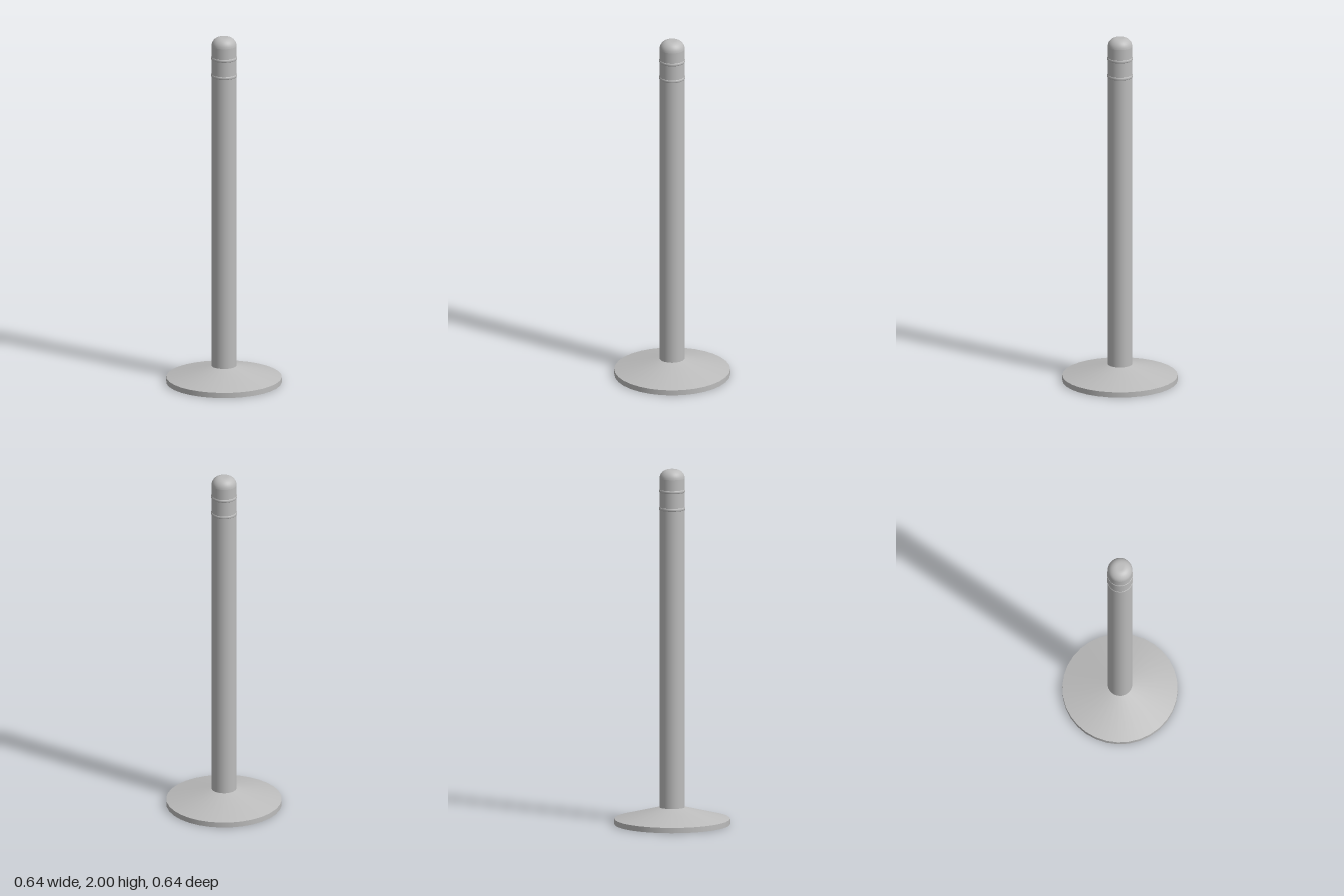
import * as THREE from 'three';

const POLE_R = 0.07;

export function createModel() {
  const group = new THREE.Group();
  const grey = new THREE.MeshStandardMaterial({ color: 0xbcbcbc, side: THREE.DoubleSide });
  grey.name = 'grey';

  // Revolve a profile of [radius, height] points, listed from bottom to top
  const lathe = (name, points, segments = 32) => {
    const profile = points.map(([r, y]) => new THREE.Vector2(r, y));
    const mesh = new THREE.Mesh(new THREE.LatheGeometry(profile, segments), grey);
    mesh.name = name;
    group.add(mesh);
  };

  // Hollow base: upright rim and shallow cone, open underneath
  lathe('baseRim', [[0.322, 0], [0.322, 0.03]]);
  lathe('baseCone', [[0.322, 0.03], [POLE_R, 0.095]]);

  // Open tube running down through the base
  lathe('pole', [[POLE_R, 0], [POLE_R, 1.95]]);

  // Rounded cap with a small flat top
  const fillet = 0.05;
  const cap = [];
  for (let i = 0; i <= 8; i++) {
    const a = (i / 8) * Math.PI / 2;
    cap.push([POLE_R - fillet + fillet * Math.cos(a), 2 - fillet + fillet * Math.sin(a)]);
  }
  cap.push([0, 2]);
  lathe('poleCap', cap);

  // Two slim raised rings near the top
  for (const y of [1.78, 1.88]) {
    const ring = [];
    for (let i = 0; i <= 6; i++) {
      const a = (i / 6 - 0.5) * Math.PI;
      ring.push([POLE_R + 0.003 * Math.cos(a), y + 0.008 * Math.sin(a)]);
    }
    lathe('ring', ring);
  }

  return group;
}
